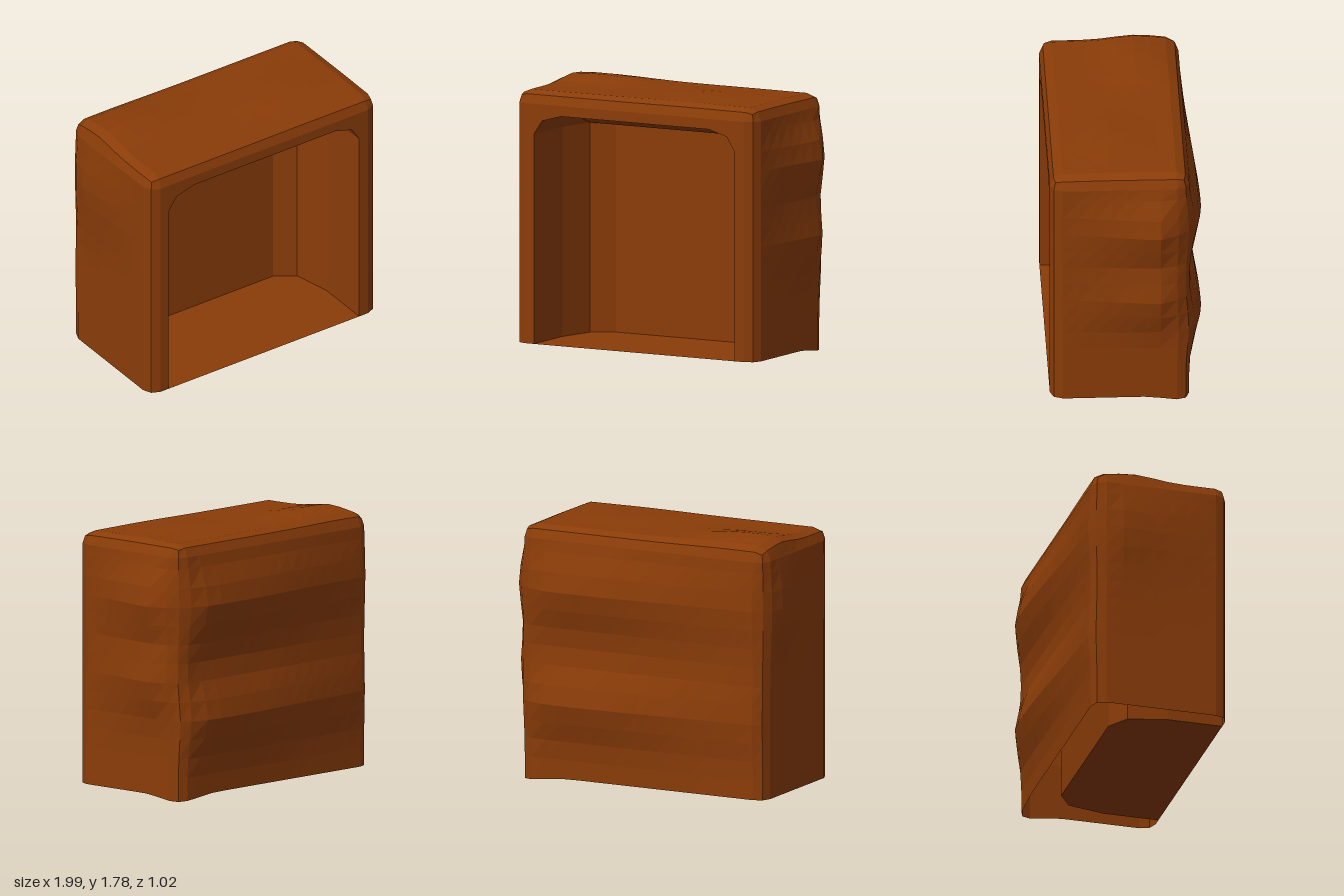
import * as THREE from 'three';

const material = new THREE.MeshStandardMaterial({
  color: 0x8a3c08, flatShading: true, side: THREE.DoubleSide,
});
const BASE = 0.03, FRONT = 0.51, R = 0.085;
const LO = new THREE.Vector3(-0.96, BASE, -0.42);
const HI = new THREE.Vector3(0.89, 1.735, FRONT);

const bell = (v, centre, width) => Math.exp(-(((v - centre) / width) ** 2));
const smooth = THREE.MathUtils.smoothstep;
const clamp = THREE.MathUtils.clamp;
const ramp = (v, a, b) => clamp((v - a) / (b - a), 0, 1);

// Grid lines from a to b, with one extra line for the rounding at each end
function gridLines(a, b, n) {
  const lines = [a];
  for (let i = 0; i <= n; i++) lines.push(a + R + ((b - a - 2 * R) * i) / n);
  return [...lines, b];
}

// Uneven swelling of the back, sides and top, fading out at the corners
function swell(p) {
  const { x, y, z } = p;
  const depth = 1 - smooth(z, -0.25, 0.43);
  const high = 1 - smooth(y, 1.5, 1.74);
  const side = ramp(z, 0.43, -0.2) * ramp(z, -0.42, -0.22) * high;
  if (z < -0.3) {
    const amount = (0.025 + 0.065 * smooth(x, -0.9, 0.5)) * ramp(x, 0.93, 0.65) * ramp(x, -0.97, -0.85);
    p.z -= amount * high * (bell(y, 0.55, 0.2) + bell(y, 1.32, 0.22));
  }
  if (x > 0.8) p.x += side * (0.08 * bell(y, 0.8, 0.21) + 0.105 * bell(y, 1.32, 0.23));
  if (x < -0.87) p.x -= side * 0.04 * bell(y, 1.32, 0.3);
  if (y > 1.7) {
    p.y += depth * (0.05 * bell(x, -0.7, 0.4) * bell(z, -0.1, 0.22))
      + 0.022 * bell(x, 0.35, 0.35) * bell(z, 0.1, 0.25);
  }
  // Drooping back corner of the lower edge
  if (y < 0.05) p.y -= 0.03 * smooth(x, 0.5, 0.87) * (1 - smooth(z, -0.4, -0.1));
}

// Rounded outer skin, open underneath and across the flat front
function outerSkin() {
  const xs = gridLines(LO.x, HI.x, 14), zs = gridLines(LO.z, HI.z, 7), ys = [];
  for (let k = 0; k <= 12; k++) ys.push(BASE + 0.1285 * k);
  ys.push(HI.y - R, HI.y);
  const nx = xs.length - 1, ny = ys.length - 1, nz = zs.length - 1;
  const geo = new THREE.BoxGeometry(nx, ny, nz, nx, ny, nz);
  const pos = geo.attributes.position, cells = [];
  const p = new THREE.Vector3(), q = new THREE.Vector3();
  for (let i = 0; i < pos.count; i++) {
    const c = [
      Math.round(pos.getX(i) + nx / 2),
      Math.round(pos.getY(i) + ny / 2),
      Math.round(pos.getZ(i) + nz / 2),
    ];
    cells.push(c);
    p.set(xs[c[0]], ys[c[1]], zs[c[2]]);
    q.set(clamp(p.x, LO.x + R, HI.x - R), Math.min(p.y, HI.y - R), clamp(p.z, LO.z + R, HI.z - R));
    p.sub(q).setLength(R).add(q);
    swell(p);
    pos.setXYZ(i, p.x, p.y, p.z);
  }
  const kept = [], index = geo.index.array;
  for (let i = 0; i < index.length; i += 3) {
    const tri = [index[i], index[i + 1], index[i + 2]];
    const under = tri.every((v) => cells[v][1] === 0);
    const front = tri.every((v) => {
      const [a, b, c] = cells[v];
      return c === nz && a > 0 && a < nx && b < ny;
    });
    if (!under && !front) kept.push(...tri);
  }
  geo.setIndex(kept);
  geo.computeVertexNormals();
  return geo;
}

// Outline of the opening
const arch = [
  [-0.81, BASE], [-0.81, 1.445], [-0.745, 1.54], [-0.6, 1.58],
  [0.54, 1.58], [0.675, 1.54], [0.735, 1.445], [0.735, BASE],
];
// Pocket layers from front to back: z, left limit, right limit, top limit
const layers = [
  [FRONT, -0.81, 0.735, 1.58], [0.13, -0.81, 0.735, 1.58],
  [-0.13, -0.745, 0.675, 1.445], [-0.22, -0.6, 0.54, 1.445],
];

function pocketWalls() {
  const verts = [], index = [], n = arch.length;
  for (const [z, left, right, top] of layers) {
    for (const [x, y] of arch) verts.push(clamp(x, left, right), Math.min(y, top), z);
  }
  for (let j = 0; j < layers.length - 1; j++) {
    for (let i = 0; i < n - 1; i++) {
      const a = j * n + i, b = a + n;
      index.push(a, a + 1, b, a + 1, b + 1, b);
    }
  }
  const geo = new THREE.BufferGeometry();
  geo.setAttribute('position', new THREE.Float32BufferAttribute(verts, 3));
  geo.setIndex(index);
  geo.computeVertexNormals();
  return geo;
}

function flatShape(points) {
  return new THREE.ShapeGeometry(new THREE.Shape(points.map(([x, y]) => new THREE.Vector2(x, y))));
}

export function createModel() {
  const model = new THREE.Group();
  const add = (name, geometry) => {
    const mesh = new THREE.Mesh(geometry, material);
    mesh.name = name;
    model.add(mesh);
  };

  add('outerShell', outerSkin());

  // Flat frame around the opening
  const l = LO.x + R, r = HI.x - R, t = HI.y - R;
  add('frontFrame', flatShape([[l, BASE], [l, t], [r, t], [r, BASE], ...[...arch].reverse()])
    .translate(0, 0, FRONT));

  // Hollow inside
  add('pocketWalls', pocketWalls());
  const [backZ, backL, backR, backT] = layers[3];
  add('pocketBack', flatShape([[backL, BASE], [backR, BASE], [backR, backT], [backL, backT]])
    .translate(0, 0, backZ));

  const floor = [
    ...layers.map(([z, left]) => [left, -z]),
    ...[...layers].reverse().map(([z, , right]) => [right, -z]),
  ];
  add('pocketFloor', flatShape(floor).rotateX(-Math.PI / 2).translate(0, BASE, 0));

  return model;
}
